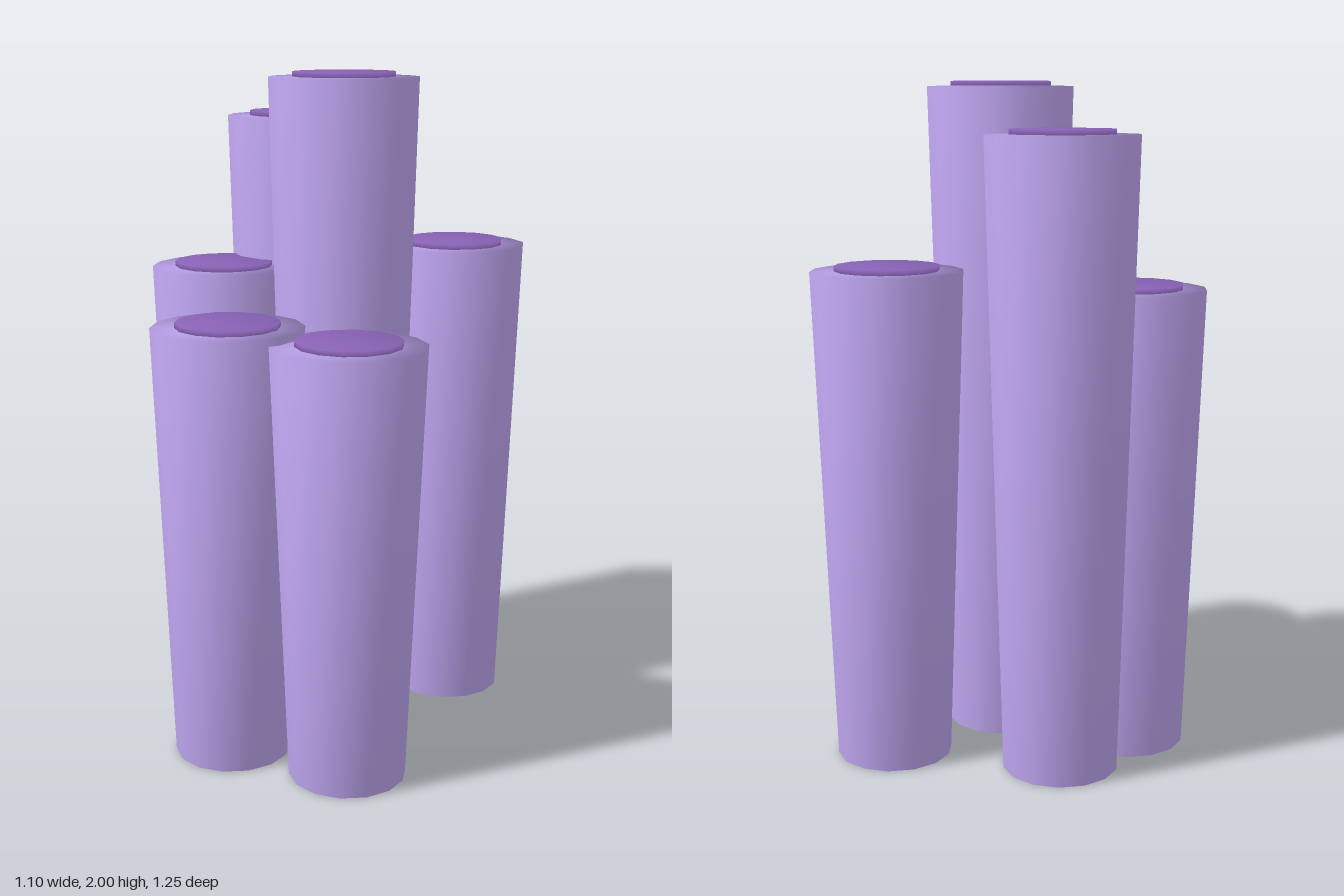
import * as THREE from 'three';
import { mergeVertices } from 'three/addons/utils/BufferGeometryUtils.js';

const SIDES = 14;
const bodyMaterial = new THREE.MeshStandardMaterial({ color: 0xc3a9f5 });
const mouthMaterial = new THREE.MeshStandardMaterial({ color: 0x8862b5 });

// Cylinder with normals blended over its rims, for a soft rounded look
function softCylinder(topRadius, bottomRadius, height) {
  const geometry = new THREE.CylinderGeometry(topRadius, bottomRadius, height, SIDES);
  geometry.deleteAttribute('normal');
  geometry.deleteAttribute('uv');
  const merged = mergeVertices(geometry, 1e-4);
  merged.computeVertexNormals();
  return merged;
}

// One tube: a body widening upwards and a dark disc for its mouth
function createTube(x, z, height) {
  const tube = new THREE.Group();
  tube.name = 'tube';
  tube.position.set(x, 0, z);

  const body = new THREE.Mesh(softCylinder(0.222, 0.172, height), bodyMaterial);
  body.name = 'tubeBody';
  body.position.y = height / 2;

  const mouth = new THREE.Mesh(softCylinder(0.152, 0.152, 0.03), mouthMaterial);
  mouth.name = 'tubeMouth';
  mouth.position.y = height;

  tube.add(body, mouth);
  return tube;
}

export function createModel() {
  const model = new THREE.Group();
  model.name = 'tubeCluster';

  // x, z and body height of each tube
  const tubes = [
    [0.09, -0.006, 1.985],
    [-0.25, -0.266, 1.852],
    [0.244, -0.406, 1.464],
    [-0.336, 0.02, 1.4],
    [-0.041, 0.4, 1.297],
    [0.334, 0.345, 1.276],
  ];
  for (const [x, z, height] of tubes) model.add(createTube(x, z, height));
  return model;
}
